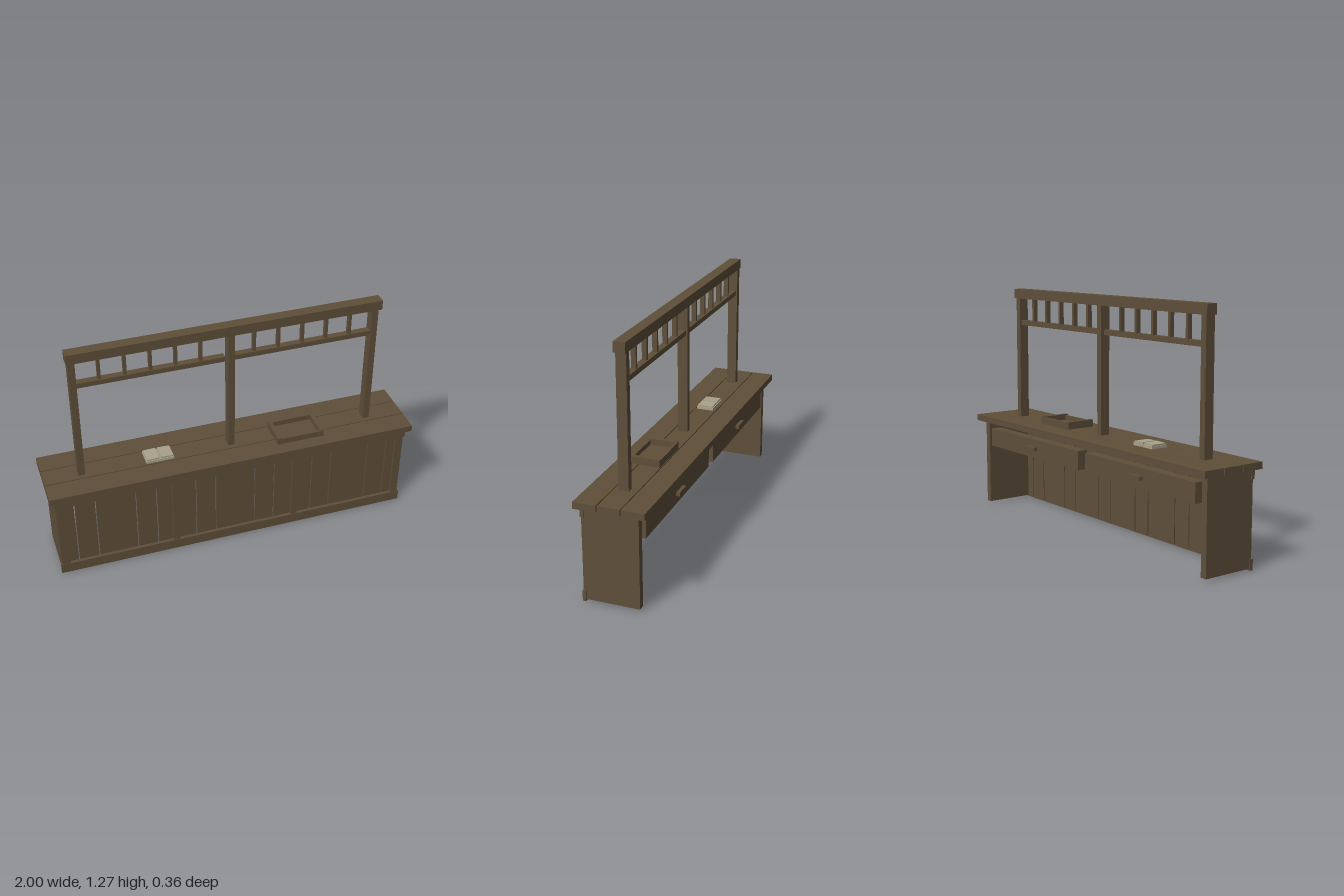
import * as THREE from 'three';

export function createModel() {
  const root = new THREE.Group();
  const wood = new THREE.MeshStandardMaterial({ color: 0x5f4f3a });
  wood.name = 'dark wood';
  const paper = new THREE.MeshStandardMaterial({ color: 0xaaa28a });
  paper.name = 'aged paper';

  function group(name) {
    const g = new THREE.Group();
    g.name = name;
    root.add(g);
    return g;
  }
  // Box given by its extents on each axis
  function box(parent, name, [x0, x1], [y0, y1], [z0, z1], material = wood) {
    const mesh = new THREE.Mesh(new THREE.BoxGeometry(x1 - x0, y1 - y0, z1 - z0), material);
    mesh.position.set((x0 + x1) / 2, (y0 + y1) / 2, (z0 + z1) / 2);
    mesh.name = name;
    parent.add(mesh);
    return mesh;
  }
  const around = (c, w) => [c - w / 2, c + w / 2];

  // Counter top: three planks with narrow gaps
  const top = group('counterTop');
  for (const z of [[0.063, 0.182], [-0.058, 0.058], [-0.181, -0.063]]) {
    box(top, 'topPlank', [-1, 1], [0.5, 0.535], z);
  }

  // Side panels
  const cabinet = group('cabinet');
  for (const s of [-1, 1]) {
    box(cabinet, 'sidePanel', around(s * 0.952, 0.036), [0.013, 0.5], [-0.138, 0.145]);
  }

  // Front frame: rails and stiles
  box(cabinet, 'topRail', [-0.975, 0.975], [0.45, 0.5], [0.14, 0.158]);
  box(cabinet, 'bottomRail', [-0.975, 0.975], [0.003, 0.06], [0.14, 0.158]);
  for (const s of [-1, 1]) {
    box(cabinet, 'endStile', around(s * 0.944, 0.042), [0.06, 0.45], [0.14, 0.156]);
    box(cabinet, 'middleStile', around(s * 0.337, 0.035), [0.06, 0.45], [0.135, 0.156]);
  }

  // Front boards with see-through gaps
  const seams = [-0.935, -0.873, -0.762, -0.547, -0.436, -0.22, -0.11,
    0.11, 0.22, 0.436, 0.547, 0.762, 0.873, 0.935];
  for (let i = 0; i + 1 < seams.length; i++) {
    box(cabinet, 'frontBoard', [seams[i] + 0.003, seams[i + 1] - 0.003], [0.013, 0.5], [0.128, 0.1405]);
  }

  // Two shallow drawers at the back
  const drawers = group('drawers');
  for (const [x0, x1] of [[-0.895, -0.03], [0.035, 0.9]]) {
    box(drawers, 'drawer', [x0, x1], [0.357, 0.46], [-0.144, -0.085]);
    box(drawers, 'drawerHandle', around((x0 + x1) / 2, 0.09), [0.4, 0.42], [-0.163, -0.143]);
  }

  // Upper frame: posts, beam, rails and balusters
  const frame = group('upperFrame');
  for (const x of [-0.8, 0.012, 0.79]) {
    box(frame, 'post', around(x, 0.035), [0.535, 1.222], [-0.02, 0.033]);
  }
  box(frame, 'topBeam', [-0.825, 0.825], [1.222, 1.275], [-0.023, 0.037]);
  box(frame, 'leftRail', [-0.785, -0.02], [1.07, 1.097], [-0.012, 0.025]);
  box(frame, 'rightRail', [0.028, 0.775], [1.07, 1.097], [-0.012, 0.025]);
  for (const start of [-0.665, 0.138]) {
    for (let i = 0; i < 5; i++) {
      box(frame, 'baluster', around(start + i * 0.13, 0.016), [1.095, 1.223], [-0.006, 0.019]);
    }
  }

  // Open book
  const book = group('openBook');
  for (const s of [-1, 1]) {
    box(book, 'bookCover', around(-0.385 + s * 0.038, 0.074), [0.535, 0.549], [-0.045, 0.05], paper);
    const page = box(book, 'pages', around(-0.385 + s * 0.038, 0.066), [0.548, 0.558], [-0.04, 0.045], paper);
    page.rotation.z = -s * 0.03;
  }

  // Open tray with a lower front wall
  const tray = group('tray');
  box(tray, 'trayBottom', [0.25, 0.5], [0.535, 0.543], [-0.05, 0.105]);
  box(tray, 'trayBack', [0.268, 0.486], [0.535, 0.572], [-0.055, -0.04]);
  box(tray, 'trayFront', [0.268, 0.486], [0.535, 0.568], [0.093, 0.11]);
  for (const x of [[0.247, 0.268], [0.486, 0.507]]) {
    box(tray, 'traySide', x, [0.535, 0.575], [-0.055, 0.112]);
  }

  return root;
}
